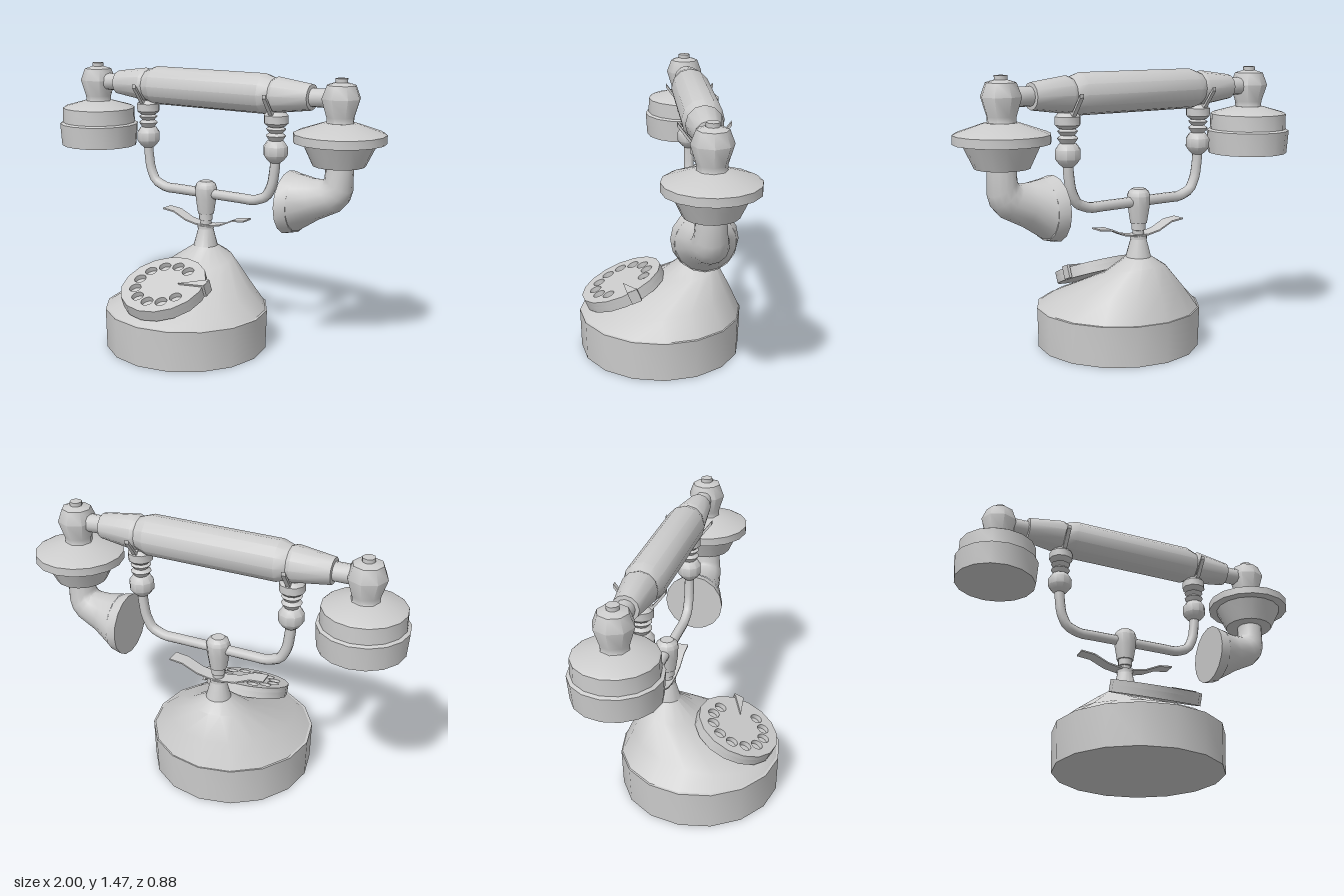
import * as THREE from 'three';
import { toCreasedNormals } from 'three/addons/utils/BufferGeometryUtils.js';

const material = new THREE.MeshStandardMaterial({ color: 0xcccccc });
const V = (x, y, z) => new THREE.Vector3(x, y, z);
const CX = -0.025; // base axis
const HZ = -0.183; // depth of the stem, cradle and handset

function add(parent, name, geometry, x = 0, y = 0, z = 0, crease = 0.6) {
  const mesh = new THREE.Mesh(toCreasedNormals(geometry, crease), material);
  mesh.name = name;
  mesh.position.set(x, y, z);
  parent.add(mesh);
  return mesh;
}

// Turned part: [radius, height] pairs from bottom to top
const turned = (profile, sides) =>
  new THREE.LatheGeometry(profile.map(([r, y]) => new THREE.Vector2(r, y)), sides);

// Skin over rings, each given by two opposite points and a sideways half-width vector
function loft(rings, sides) {
  const pos = [], index = [];
  rings.forEach(([p, q, side], i) => {
    const c = p.clone().add(q).multiplyScalar(0.5);
    const u = p.clone().sub(c);
    for (let j = 0; j < sides; j++) {
      const a = (j / sides) * Math.PI * 2;
      const v = c.clone().addScaledVector(u, Math.cos(a)).addScaledVector(side, Math.sin(a));
      pos.push(v.x, v.y, v.z);
      if (i === 0) continue;
      const k = (j + 1) % sides, lo = (i - 1) * sides, hi = i * sides;
      index.push(lo + j, lo + k, hi + k, lo + j, hi + k, hi + j);
    }
  });
  const g = new THREE.BufferGeometry();
  g.setAttribute('position', new THREE.Float32BufferAttribute(pos, 3));
  g.setIndex(index);
  g.computeVertexNormals();
  return g;
}

// Bent strip: polyline thickened upward and extruded across its width
function strip(points, thick, width) {
  const outline = [...points, ...points.map(([x, y]) => [x, y + thick]).reverse()];
  const shape = new THREE.Shape(outline.map(([x, y]) => new THREE.Vector2(x, y)));
  const g = new THREE.ExtrudeGeometry(shape, { depth: width, bevelEnabled: false });
  return g.translate(0, 0, -width / 2);
}

function disc(radius, depth, holes = []) {
  const shape = new THREE.Shape().absarc(0, 0, radius, 0, Math.PI * 2);
  shape.holes = holes.map(([x, y, r]) => new THREE.Path().absarc(x, y, r, 0, Math.PI * 2, true));
  return new THREE.ExtrudeGeometry(shape, { depth, bevelEnabled: false, curveSegments: 8 });
}

function makeBase() {
  const base = new THREE.Group();
  base.name = 'base';
  add(base, 'drum', turned([[0, 0], [0.435, 0], [0.44, 0.213], [0.42, 0.216]], 16), CX, 0, 0);
  // Leaning body: front (z, y), back (z, y), half width
  const sections = [
    [0.43, 0.213, -0.435, 0.213, 0.43],
    [0.39, 0.24, -0.375, 0.345, 0.335],
    [0, 0.41, -0.31, 0.47, 0.165],
    [-0.115, 0.51, -0.25, 0.51, 0.066],
    [-0.143, 0.61, -0.223, 0.61, 0.04],
  ];
  add(base, 'body', loft(sections.map(([fz, fy, bz, by, w]) =>
    [V(0, fy, fz), V(0, by, bz), V(w, 0, 0)]), 16), CX, 0, 0);
  return base;
}

function makeDial() {
  const dial = new THREE.Group();
  dial.name = 'dial';
  dial.position.set(CX, 0.33, 0.19);
  dial.rotation.x = -THREE.MathUtils.degToRad(67.6);
  add(dial, 'dialPlate', disc(0.23, 0.036));
  const holes = [];
  for (let i = 0; i < 10; i++) {
    const a = THREE.MathUtils.degToRad(60 + 30 * i);
    holes.push([Math.cos(a) * 0.15, Math.sin(a) * 0.15, 0.032]);
  }
  add(dial, 'fingerWheel', disc(0.23, 0.026, holes), 0, 0, 0.036);
  // Pointed finger stop bent over the rim
  const stop = new THREE.Shape([[0.09, 0.015], [0.235, 0.035], [0.235, 0.09]]
    .map(([x, y]) => new THREE.Vector2(x, y)));
  add(dial, 'fingerStop', new THREE.ExtrudeGeometry(stop, { depth: 0.01, bevelEnabled: false }), 0, 0, 0.064);
  add(dial, 'fingerStopTab', new THREE.BoxGeometry(0.015, 0.055, 0.07), 0.23, 0.0625, 0.038);
  return dial;
}

function makeCradle() {
  const cradle = new THREE.Group();
  cradle.name = 'cradle';
  add(cradle, 'stem', turned([[0.045, 0.605], [0.045, 0.622], [0.03, 0.624], [0.03, 0.65],
    [0.037, 0.652], [0.037, 0.69]], 12), CX, 0, HZ);
  add(cradle, 'stemCap', turned([[0, 0.688], [0.045, 0.688], [0.058, 0.77], [0.062, 0.83],
    [0.055, 0.85], [0.035, 0.867], [0, 0.867]], 10), CX, 0, HZ, 0.7);
  const wing = [[-0.265, 0.68], [-0.19, 0.672], [-0.11, 0.635], [-0.04, 0.622]];
  const spring = [...wing, ...wing.map(([x, y]) => [-x, y]).reverse()];
  add(cradle, 'springPlate', strip(spring, 0.008, 0.075), CX, 0, HZ);

  // U-shaped arm
  const half = [[-0.41, 1.05], [-0.408, 0.99], [-0.395, 0.9], [-0.36, 0.83], [-0.285, 0.8], [-0.2, 0.8]];
  const arm = new THREE.CurvePath();
  const path = [...half, ...half.map(([x, y]) => [-x, y]).reverse()].map(([x, y]) => V(x, y, 0));
  for (let i = 1; i < path.length; i++) arm.add(new THREE.LineCurve3(path[i - 1], path[i]));
  const smooth = new THREE.CatmullRomCurve3(path, false, 'catmullrom', 0.25);
  add(cradle, 'arm', new THREE.TubeGeometry(smooth, 44, 0.027, 10), -0.005, 0, HZ, 0.8);

  const post = [[0.027, 1.015], [0.045, 1.03], [0.064, 1.055], [0.064, 1.1], [0.045, 1.127],
    [0.035, 1.13], [0.053, 1.155], [0.035, 1.17], [0.053, 1.19], [0.035, 1.2],
    [0.045, 1.203], [0.064, 1.22], [0.064, 1.26], [0.045, 1.28], [0, 1.282]];
  const prong = [[-0.128, 1.355], [-0.06, 1.265], [0.06, 1.265], [0.128, 1.355]];
  for (const side of [-1, 1]) {
    const x = -0.005 + side * 0.41;
    add(cradle, 'post', turned(post, 10), x, 0, HZ, 0.7);
    add(cradle, 'fork', strip(prong, 0.02, 0.022).rotateY(Math.PI / 2), x, 0, HZ);
  }
  return cradle;
}

function makeHandset() {
  const handset = new THREE.Group();
  handset.name = 'handset';
  // Grip, turned about x and mirrored
  const half = [[0.047, -0.72], [0.047, -0.615], [0.066, -0.613], [0.092, -0.42], [0.085, -0.4], [0.104, -0.345]];
  const grip = [...half, ...half.map(([r, y]) => [r, -y]).reverse()];
  add(handset, 'grip', turned(grip, 12).rotateZ(-Math.PI / 2), -0.005, 1.365, HZ);

  const knob = [[0.09, 1.225], [0.07, 1.255], [0.072, 1.28], [0.1, 1.37], [0.075, 1.435], [0.032, 1.448],
    [0.032, 1.468], [0, 1.47]];
  const EX = -0.775, MX = 0.765;
  for (const x of [EX, MX]) add(handset, 'knob', turned(knob, 8), x, 0, HZ, 0.8);

  add(handset, 'earpiece', turned([[0, 0.998], [0.216, 0.998], [0.225, 1.122], [0.208, 1.13],
    [0.206, 1.212], [0.195, 1.22], [0.08, 1.252], [0, 1.255]], 16), EX, 0, HZ);
  add(handset, 'mouthpieceCup', turned([[0, 1.04], [0.132, 1.04], [0.185, 1.152], [0.23, 1.155],
    [0.23, 1.198], [0.21, 1.208], [0.08, 1.252], [0, 1.255]], 16), MX, 0, HZ);

  // Elbow horn: inner (x, y) and outer (x, y) of each section
  const sections = [
    [0.7, 1.05, 0.84, 1.05], [0.7, 0.98, 0.84, 0.91], [0.692, 0.965, 0.822, 0.855],
    [0.675, 0.96, 0.78, 0.808], [0.62, 0.96, 0.665, 0.75], [0.55, 0.972, 0.55, 0.675],
  ];
  add(handset, 'horn', loft(sections.map(([ix, iy, ox, oy]) =>
    [V(ix, iy, 0), V(ox, oy, 0), V(0, 0, -Math.hypot(ix - ox, iy - oy) / 2)]), 14), 0, 0, HZ, 0.8);
  add(handset, 'hornRim', turned([[0, -0.03], [0.15, -0.03], [0.165, 0.03], [0, 0.03]], 16)
    .rotateZ(Math.PI / 2), 0.52, 0.819, HZ);
  return handset;
}

export function createModel() {
  const model = new THREE.Group();
  model.name = 'telephone';
  model.add(makeBase(), makeDial(), makeCradle(), makeHandset());
  return model;
}
